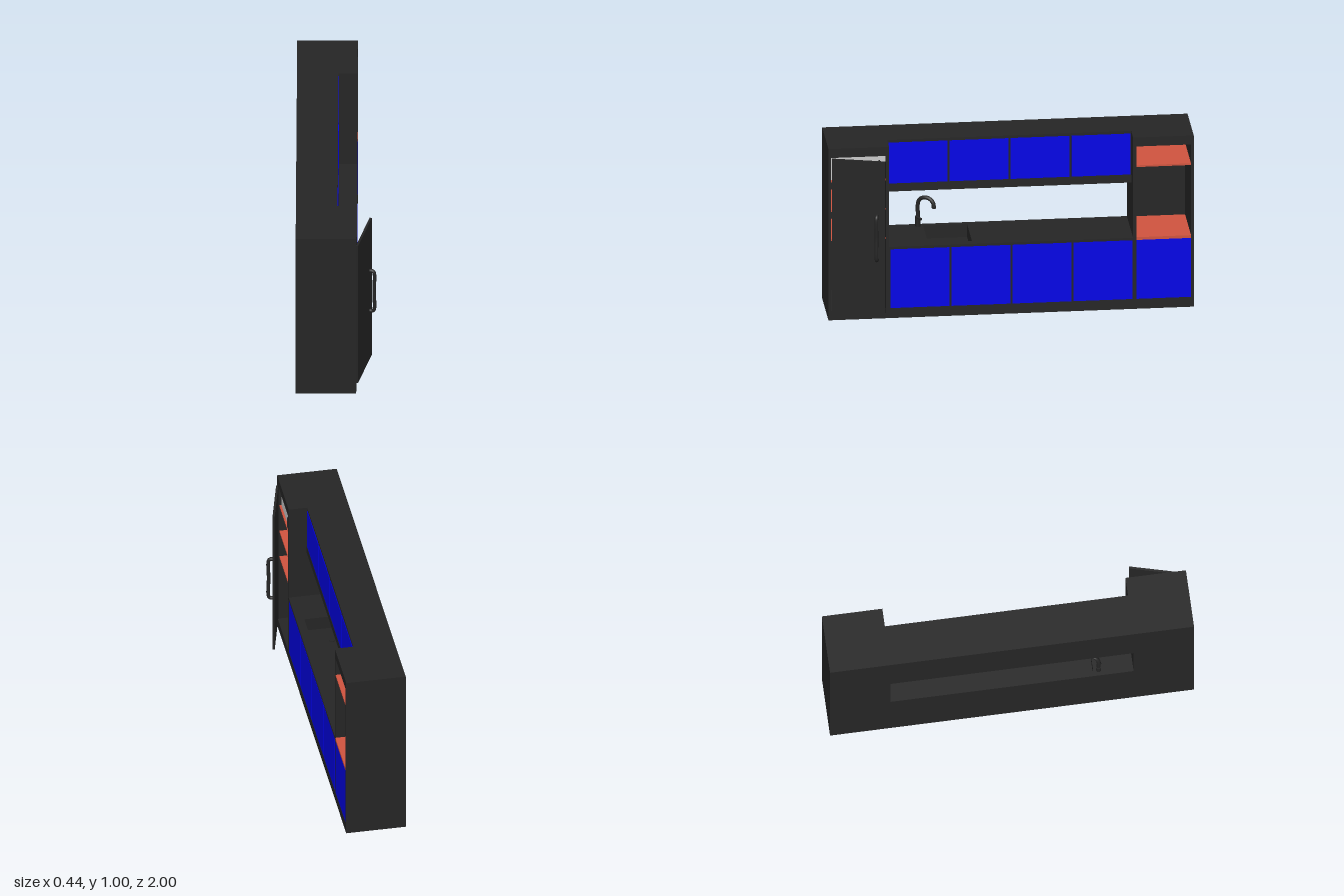
import * as THREE from 'three';

const mat = (color) => new THREE.MeshStandardMaterial({ color });
const dark = mat(0x252525), blue = mat(0x0000e6), orange = mat(0xd0543f), grey = mat(0xcccccc);

const BACK = -0.215, FRONT = 0.115, UPPER = 0.015;

export function createModel() {
  const model = new THREE.Group();
  model.name = 'kitchenUnit';

  const add = (name, geometry, material, parent = model) => {
    const mesh = new THREE.Mesh(geometry, material);
    mesh.name = name;
    parent.add(mesh);
    return mesh;
  };
  // box given by its low and high limits on each axis
  const box = (name, [x0, x1], [y0, y1], [z0, z1], material = dark, parent = model) => {
    const m = add(name, new THREE.BoxGeometry(x1 - x0, y1 - y0, z1 - z0), material, parent);
    m.position.set((x0 + x1) / 2, (y0 + y1) / 2, (z0 + z1) / 2);
    return m;
  };
  const tube = (name, points, radius, parent, segments = 40) => {
    const curve = new THREE.CatmullRomCurve3(points.map((p) => new THREE.Vector3(...p)), false, 'centripetal');
    return add(name, new THREE.TubeGeometry(curve, segments, radius, 12), dark, parent);
  };
  // upright bar handle with two bent ends, standing out along +x
  const handle = (name, x, z, y0, y1, out, r, parent) => {
    const c = out * 0.35;
    return tube(name, [
      [x, y0, z], [x + out - c, y0, z], [x + out, y0 + c, z],
      [x + out, (y0 + y1) / 2, z],
      [x + out, y1 - c, z], [x + out - c, y1, z], [x, y1, z],
    ], r, parent, 60);
  };

  // base cabinets and plinth
  const body = [BACK, FRONT - 0.003];
  box('plinth', [BACK, FRONT], [0, 0.055], [-1, 1]);
  box('baseCabinet', body, [0.055, 0.34], [-0.67, 0.67]);

  // worktop with the sink cut through it, resting on the base cabinet
  const top = new THREE.Shape([[BACK, -0.67], [FRONT - 0.003, -0.67], [FRONT - 0.003, 0.67], [BACK, 0.67]]
    .map((p) => new THREE.Vector2(...p)));
  top.holes.push(new THREE.Path([[-0.185, -0.45], [-0.185, -0.21], [0.07, -0.21], [0.07, -0.45]]
    .map((p) => new THREE.Vector2(...p))));
  const worktop = add('worktop', new THREE.ExtrudeGeometry(top, { depth: 0.075, bevelEnabled: false }), dark);
  worktop.rotation.x = -Math.PI / 2;
  worktop.position.y = 0.34;
  box('worktopEdge', [FRONT - 0.01, FRONT], [0.402, 0.415], [-0.67, 0.67]);
  const drain = add('sinkDrain', new THREE.CylinderGeometry(0.016, 0.016, 0.004, 20), dark);
  drain.position.set(-0.06, 0.342, 0.33);

  // wall cabinets
  box('wallCabinet', [BACK, UPPER - 0.003], [0.7, 1], [-0.67, 0.67]);
  box('wallCabinetRail', [UPPER - 0.01, UPPER], [0.7, 0.743], [-0.67, 0.67]);

  // four pairs of doors
  for (let i = 0; i < 4; i++) {
    const z = [-0.665 + i * 0.3345, -0.665 + i * 0.3345 + 0.3225];
    box('baseDoor', [FRONT - 0.012, FRONT], [0.058, 0.4], z, blue);
    box('wallDoor', [UPPER - 0.012, UPPER], [0.747, 0.985], z, blue);
  }

  // tall cabinets: open-fronted shells at both ends
  const shell = (name, side) => {
    const g = new THREE.Group();
    g.name = name;
    model.add(g);
    const span = (a, b) => (side > 0 ? [a, b] : [-b, -a]);
    box('backPanel', [BACK, BACK + 0.015], [0.055, 1], span(0.67, 1), dark, g);
    box('innerSide', [BACK, FRONT], [0.055, 1], span(0.668, 0.685), dark, g);
    box('outerSide', [BACK, FRONT], [0.055, 1], span(0.985, 1), dark, g);
    box('topPanel', [BACK, FRONT], [0.948, 1], span(0.67, 1), dark, g);
    return g;
  };
  const inner = [0.685, 0.985];

  const shelfUnit = shell('shelfCabinet', -1);
  const far = [-0.985, -0.685];
  box('lowerBox', body, [0.055, 0.4], far, dark, shelfUnit);
  box('lowerDoor', [FRONT - 0.012, FRONT], [0.058, 0.4], far, blue, shelfUnit);
  box('shelf', [BACK + 0.01, FRONT], [0.402, 0.418], far, orange, shelfUnit);
  box('shelf', [BACK + 0.01, FRONT - 0.002], [0.827, 0.837], far, orange, shelfUnit);

  const fridge = shell('fridgeCabinet', 1);
  for (const y of [0.465, 0.635, 0.805])
    box('fridgeShelf', [BACK + 0.01, FRONT - 0.01], [y - 0.005, y + 0.005], inner, orange, fridge);
  box('freezerBox', [BACK + 0.015, FRONT - 0.02], [0.811, 0.947], [0.687, 0.983], grey, fridge);
  handle('freezerHandle', FRONT - 0.02, 0.72, 0.84, 0.915, 0.014, 0.004, fridge);

  // fridge door, standing ajar on its hinge
  const door = new THREE.Group();
  door.name = 'fridgeDoor';
  door.position.set(FRONT - 0.002, 0, 0.98);
  door.rotation.y = -0.255;
  box('doorPanel', [0, 0.012], [0.058, 0.944], [-0.293, 0], dark, door);
  handle('doorHandle', 0.01, -0.25, 0.373, 0.63, 0.026, 0.01, door);
  model.add(door);

  // tap with a hooked spout turned towards the sink
  const tap = new THREE.Group();
  tap.name = 'tap';
  tap.position.set(-0.182, 0.415, 0.48);
  tap.rotation.y = Math.PI / 3;
  const hook = [[0, 0, 0], [0, 0.07, 0], [0, 0.13, 0]];
  for (let i = 1; i <= 6; i++) {
    const a = Math.PI * (1 - i / 6);
    hook.push([0.048 + 0.048 * Math.cos(a), 0.13 + 0.045 * Math.sin(a), 0]);
  }
  tube('spout', hook, 0.011, tap, 48);
  const end = add('spoutEnd', new THREE.CylinderGeometry(0.012, 0.012, 0.012, 16), dark, tap);
  end.position.set(0.096, 0.126, 0);
  const foot = add('tapFoot', new THREE.CylinderGeometry(0.014, 0.014, 0.05, 16), dark, tap);
  foot.position.y = 0.025;
  const lever = add('tapLever', new THREE.CylinderGeometry(0.007, 0.007, 0.05, 12), dark, tap);
  lever.rotation.set(Math.PI / 2, 0, -Math.PI / 3);
  lever.position.set(0.016, 0.06, 0.026);
  model.add(tap);

  return model;
}
